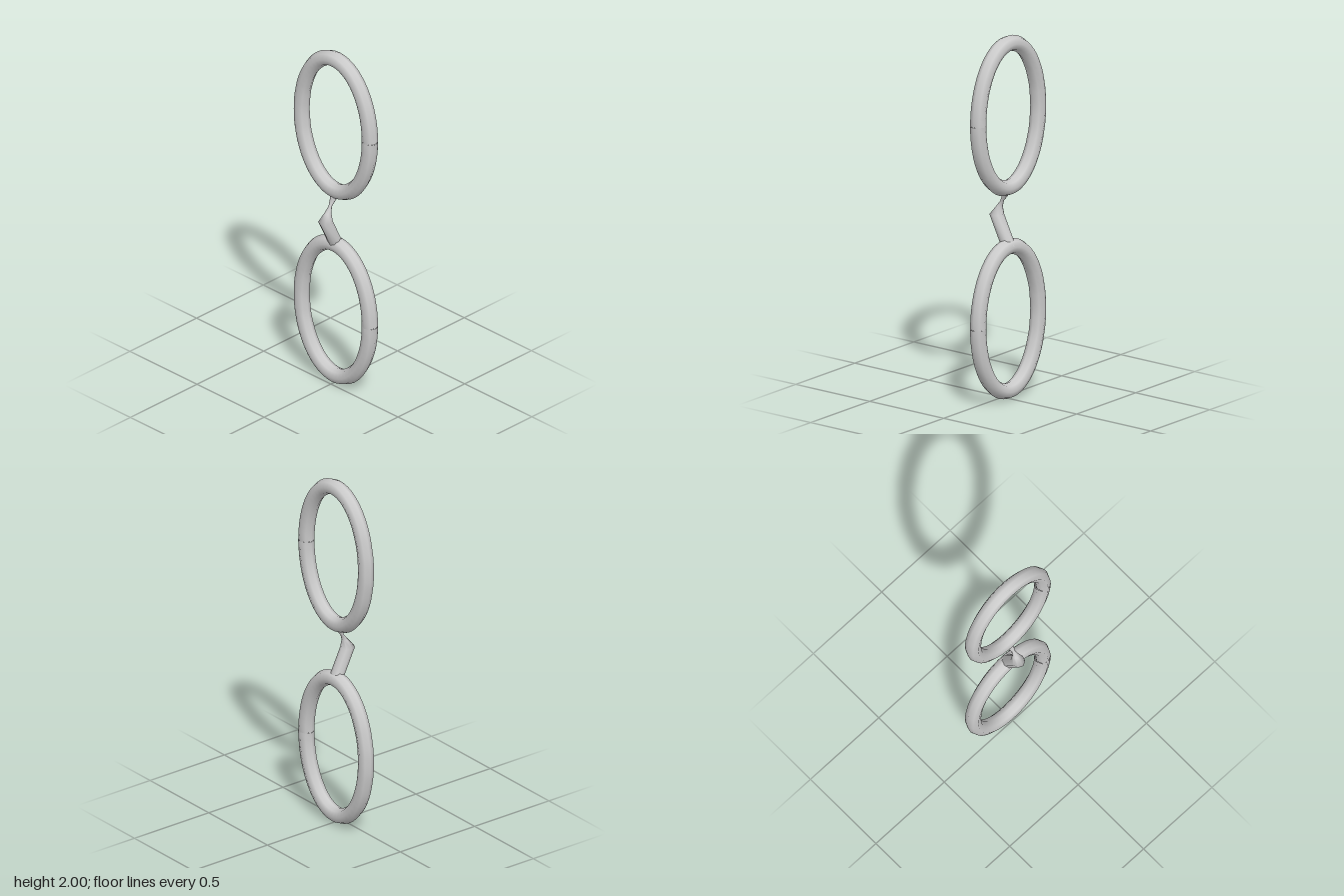
import * as THREE from 'three';

const SIDES = 8;
const material = new THREE.MeshStandardMaterial({ color: 0xcccccc, side: THREE.DoubleSide });

// Skins a list of octagonal sections; each section is a function of the angle around it.
function loft(name, sections) {
  const positions = [], index = [];
  sections.forEach((section, i) => {
    for (let j = 0; j < SIDES; j++) {
      positions.push(...section((j / SIDES) * Math.PI * 2));
      if (i === sections.length - 1) continue;
      const a = i * SIDES + j, b = i * SIDES + ((j + 1) % SIDES);
      index.push(a, b, a + SIDES, b, b + SIDES, a + SIDES);
    }
  });
  const geometry = new THREE.BufferGeometry();
  geometry.setAttribute('position', new THREE.Float32BufferAttribute(positions, 3));
  geometry.setIndex(index);
  geometry.computeVertexNormals();
  const mesh = new THREE.Mesh(geometry, material);
  mesh.name = name;
  return mesh;
}

// Oval rim: an octagonal tube swept round an ellipse, open at a seam on the +z side.
function rim(name, centreY) {
  const halfHeight = 0.397, halfWidth = 0.254, radius = 0.043, steps = 56;
  const sections = [];
  for (let i = 0; i <= steps; i++) {
    const t = (i / steps) * Math.PI * 2;
    const normal = new THREE.Vector2(Math.sin(t) / halfHeight, Math.cos(t) / halfWidth).normalize();
    // slight ripple opposite the seam, slight flare at the seam itself
    const d = t - Math.PI;
    const ripple = Math.abs(d) < 0.35 ? -0.05 * Math.cos(d * 18) ** 2 : 0;
    const r = radius * (1 + ripple + (i === steps ? 0.05 : 0));
    sections.push((p) => [
      0.037 + radius * Math.sin(p),
      centreY + halfHeight * Math.sin(t) + normal.x * r * Math.cos(p),
      halfWidth * Math.cos(t) + normal.y * r * Math.cos(p),
    ]);
  }
  return loft(name, sections);
}

// Bent bridge between the rims, pinched near its upper end: x, y, x radius, z radius
function bridge() {
  const stations = [
    [0.037, 0.845, 0.041, 0.037],
    [-0.04, 1.003, 0.041, 0.037],
    [-0.022, 1.05, 0.018, 0.018],
    [-0.004, 1.083, 0.010, 0.009],
    [0.02, 1.122, 0.018, 0.019],
    [0.037, 1.155, 0.03, 0.03],
  ];
  return loft('bridge', stations.map(([x, y, rx, rz]) => (p) => [
    x + rx * Math.sin(p), y, rz * Math.cos(p),
  ]));
}

export function createModel() {
  const group = new THREE.Group();
  group.name = 'spectacleFrame';
  group.add(rim('upperRim', 1.56), rim('lowerRim', 0.44), bridge());
  return group;
}
